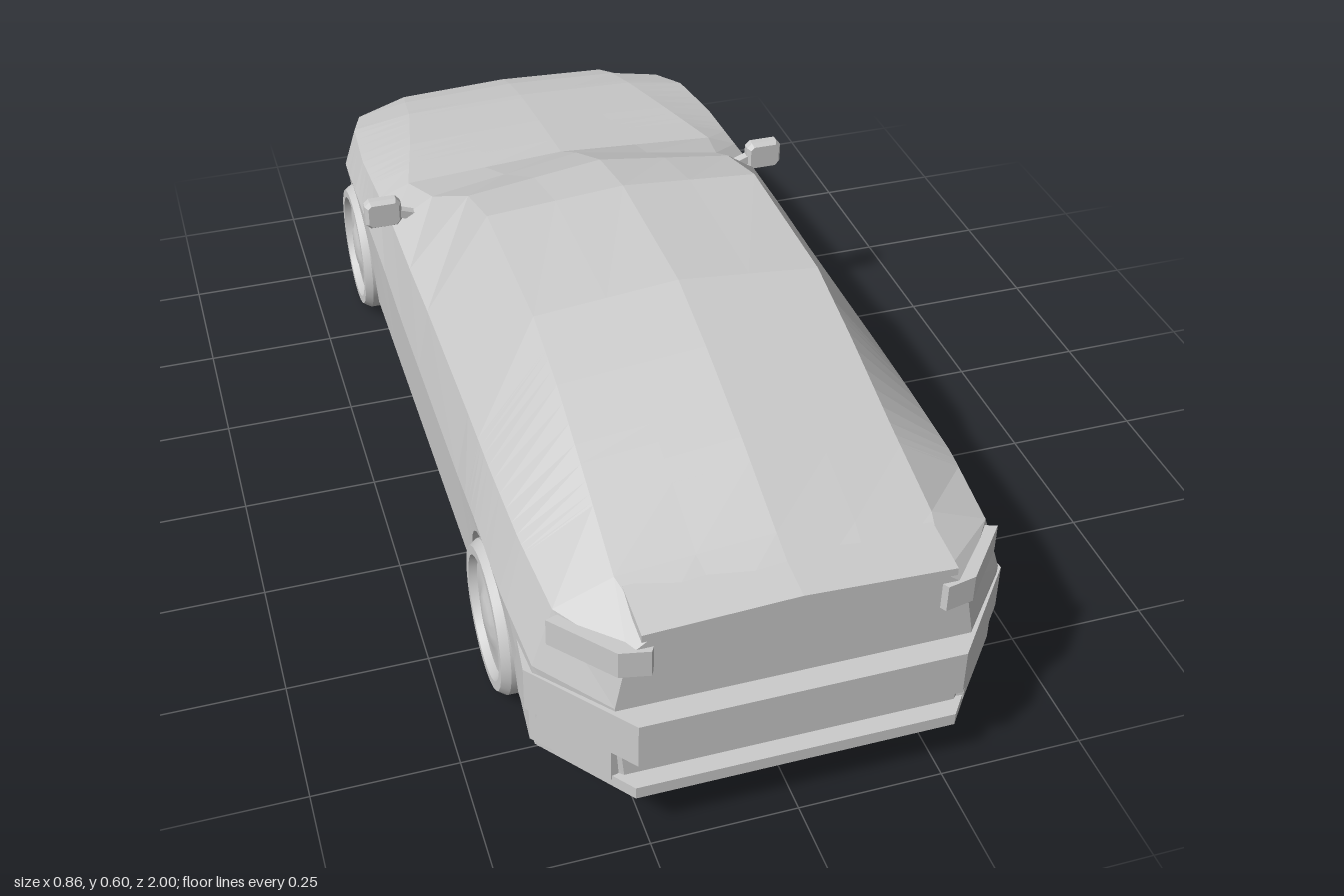
import * as THREE from 'three';
import { toCreasedNormals } from 'three/addons/utils/BufferGeometryUtils.js';

const flat = new THREE.MeshStandardMaterial({ color: 0xcccccc, flatShading: true, side: THREE.DoubleSide });
const smooth = new THREE.MeshStandardMaterial({ color: 0xcccccc });

const WHEEL_Y = 0.135, ARCH_R = 0.148, AXLES = [-0.635, 0.567];

// Body stations, nose to tail:
// z, sill x, side x, side y, belt x, belt y, roof-edge x, roof-edge y, centre y, floor y
const STATIONS = [
  [-1.0, 0.16, 0.17, 0.16, 0.165, 0.20, 0.12, 0.22, 0.225, 0.10],
  [-0.965, 0.25, 0.265, 0.19, 0.255, 0.25, 0.20, 0.275, 0.285, 0.08],
  [-0.93, 0.30, 0.32, 0.21, 0.305, 0.29, 0.23, 0.32, 0.33, 0.075],
  [-0.86, 0.36, 0.37, 0.23, 0.345, 0.325, 0.24, 0.345, 0.355, 0.07],
  [-0.76, 0.38, 0.398, 0.27, 0.372, 0.35, 0.25, 0.37, 0.378, 0.08],
  [-0.6, 0.39, 0.405, 0.30, 0.383, 0.365, 0.28, 0.39, 0.402, 0.085],
  [-0.42, 0.39, 0.402, 0.29, 0.38, 0.38, 0.32, 0.405, 0.425, 0.085],
  [-0.30, 0.39, 0.40, 0.28, 0.378, 0.39, 0.295, 0.44, 0.49, 0.085],
  [-0.13, 0.39, 0.40, 0.27, 0.378, 0.393, 0.258, 0.535, 0.57, 0.085],
  [0.02, 0.39, 0.40, 0.27, 0.376, 0.395, 0.256, 0.58, 0.60, 0.085],
  [0.345, 0.39, 0.40, 0.27, 0.375, 0.40, 0.255, 0.578, 0.603, 0.085],
  [0.5, 0.39, 0.404, 0.295, 0.375, 0.40, 0.255, 0.54, 0.565, 0.088],
  [0.68, 0.39, 0.405, 0.29, 0.372, 0.40, 0.258, 0.48, 0.51, 0.095],
  [0.84, 0.39, 0.395, 0.28, 0.36, 0.39, 0.262, 0.43, 0.452, 0.10],
  [0.955, 0.28, 0.295, 0.27, 0.275, 0.375, 0.235, 0.405, 0.412, 0.12],
];

function stationAt(z) {
  let i = 0;
  while (i < STATIONS.length - 2 && z > STATIONS[i + 1][0]) i++;
  const a = STATIONS[i], b = STATIONS[i + 1], t = (z - a[0]) / (b[0] - a[0]);
  return a.map((v, k) => v + (b[k] - v) * t);
}

// One closed ring: floor centre, up the left side, over the roof, down the right
function ringAt(z, arch) {
  const [, xs, xm, ym, xb, yb, xr, yr, yc, floor] = stationAt(z);
  const inner = Math.min(0.27, xs - 0.02), lip = Math.max(floor, arch);
  const half = [[0, floor], [inner, floor], [inner, lip], [xs + (lip - floor) * 0.06, lip],
    [xm, Math.max(ym, lip + 0.01)], [xb, yb], [xr, yr], [xr / 2, (yr + yc) / 2], [0, yc]];
  const mirror = half.slice(1, -1).reverse().map(([x, y]) => [-x, y]);
  return [...half, ...mirror].map(([x, y]) => new THREE.Vector3(x, y, z));
}

function buildBody(group) {
  // Stations plus extra rings that follow the wheel arches
  const cuts = STATIONS.map((s) => [s[0], 0])
    .filter(([z]) => AXLES.every((a) => Math.abs(z - a) > ARCH_R));
  for (const a of AXLES) {
    cuts.push([a - ARCH_R - 0.0005, 0], [a + ARCH_R + 0.0005, 0]);
    for (let k = 0; k <= 12; k++) {
      const t = Math.PI * k / 12;
      cuts.push([a - ARCH_R * Math.cos(t), WHEEL_Y + ARCH_R * Math.sin(t)]);
    }
  }
  cuts.sort((p, q) => p[0] - q[0]);
  const rings = cuts.map(([z, arch]) => ringAt(z, arch));

  const parts = { body: [], windscreen: [], rearWindow: [], sideWindows: [], roof: [] };
  const partFor = (row, z) => {
    if (row === 5 && z > -0.31 && z < 0.7) return 'sideWindows';
    if (row >= 6 && z > -0.43 && z < 0) return 'windscreen';
    if (row >= 6 && z > 0 && z < 0.345) return 'roof';
    if (row >= 6 && z > 0.345 && z < 0.83) return 'rearWindow';
    return 'body';
  };
  for (let k = 0; k < rings.length - 1; k++) {
    const p = rings[k], q = rings[k + 1], z = (p[0].z + q[0].z) / 2;
    for (let i = 0; i < 16; i++) {
      const j = (i + 1) % 16;
      parts[partFor(Math.min(i, 15 - i), z)].push(p[i], p[j], q[j], p[i], q[j], q[i]);
    }
  }
  // Nose and tail caps
  for (const [ring, isTail] of [[rings[0], false], [rings[rings.length - 1], true]]) {
    const mid = new THREE.Vector3(0, (ring[0].y + ring[8].y) / 2, ring[0].z);
    for (let i = 0; i < 16; i++) {
      const a = ring[i], b = ring[(i + 1) % 16];
      parts.body.push(...(isTail ? [a, b, mid] : [b, a, mid]));
    }
  }
  for (const [name, points] of Object.entries(parts)) {
    const geo = new THREE.BufferGeometry().setFromPoints(points);
    geo.computeVertexNormals();
    add(group, name, geo, flat);
  }
}

function add(group, name, geo, material) {
  const mesh = new THREE.Mesh(geo, material);
  mesh.name = name;
  group.add(mesh);
  return mesh;
}

// Slab with a plan outline of [x, z] points, from y0 to y1
function slab(group, name, plan, y0, y1) {
  const shape = new THREE.Shape(plan.map(([x, z]) => new THREE.Vector2(x, -z)));
  const geo = new THREE.ExtrudeGeometry(shape, { depth: y1 - y0, bevelEnabled: false });
  geo.rotateX(-Math.PI / 2).translate(0, y0, 0);
  return add(group, name, geo, flat);
}
const mirrored = (half) => [...half, ...half.slice().reverse().map(([x, z]) => [-x, z])];

// Wheel turned around its axle, outer face towards +y
function wheelGeometry() {
  const profile = [[0, 0.03], [0.1, 0.03], [0.108, 0], [0.125, 0], [0.135, 0.012], [0.135, 0.112],
    [0.125, 0.127], [0.109, 0.127], [0.104, 0.113], [0.055, 0.116], [0.038, 0.123], [0, 0.127]];
  const geo = new THREE.LatheGeometry(profile.map(([r, y]) => new THREE.Vector2(r, y)), 28);
  return toCreasedNormals(geo, 0.5);
}

export function createModel() {
  const car = new THREE.Group();
  car.name = 'car';
  buildBody(car);

  // Rear bumper: full upper band, corner blocks around a recess, lower lip
  slab(car, 'rearBumper', mirrored([[0.395, 0.72], [0.407, 0.83], [0.27, 0.997]]), 0.18, 0.265);
  slab(car, 'rearRecess', mirrored([[0.392, 0.73], [0.40, 0.83], [0.30, 0.95], [0.2, 0.93]]), 0.11, 0.18);
  slab(car, 'rearLip', mirrored([[0.388, 0.73], [0.392, 0.83], [0.27, 0.985]]), 0.095, 0.118);

  // Boot lip spoiler, raised at the centre
  const lip = new THREE.BoxGeometry(0.51, 0.014, 0.1, 2, 1, 1);
  const pos = lip.attributes.position;
  for (let i = 0; i < pos.count; i++) {
    const x = pos.getX(i), z = pos.getZ(i);
    pos.setY(i, pos.getY(i) + 0.426 - Math.abs(x) * 0.045 - z * 0.1);
    pos.setZ(i, z + 0.91);
  }
  add(car, 'bootLip', lip, flat);

  // Front lip and lower intake bar
  slab(car, 'frontLip', mirrored([[0.37, -0.8], [0.355, -0.89], [0.26, -0.975], [0.165, -1.0]]), 0.075, 0.105);
  slab(car, 'frontBumper', mirrored([[0.36, -0.87], [0.355, -0.89], [0.265, -0.97], [0.168, -1.0]]), 0.165, 0.215);

  const wheel = wheelGeometry();
  for (const s of [1, -1]) {
    // Lights
    slab(car, 'tailLight', [[0.225 * s, 0.94], [0.24 * s, 0.965], [0.29 * s, 0.955], [0.375 * s, 0.855], [0.33 * s, 0.84]], 0.335, 0.385);
    slab(car, 'headlight', [[0.22 * s, -0.955], [0.30 * s, -0.937], [0.362 * s, -0.87], [0.3 * s, -0.86]], 0.24, 0.262);

    // Wheels
    for (const z of AXLES) {
      const w = add(car, z < 0 ? 'frontWheel' : 'rearWheel', wheel, smooth);
      w.rotation.z = -s * Math.PI / 2;
      w.position.set(0.285 * s, WHEEL_Y, z);
    }

    // Door mirror: chamfered housing on a short stalk
    const outline = [[-0.036, -0.02], [-0.026, -0.03], [0.026, -0.03], [0.036, -0.018],
      [0.036, 0.018], [0.026, 0.03], [-0.026, 0.03], [-0.036, 0.02]];
    const housing = new THREE.ExtrudeGeometry(
      new THREE.Shape(outline.map(([x, y]) => new THREE.Vector2(x, y))),
      { depth: 0.014, bevelThickness: 0.009, bevelSize: 0.006, bevelOffset: -0.006, bevelSegments: 1 });
    add(car, 'mirror', housing, flat).position.set(0.395 * s, 0.424, -0.305);
    const stalk = add(car, 'mirrorStalk', new THREE.BoxGeometry(0.05, 0.016, 0.018), flat);
    stalk.position.set(0.345 * s, 0.412, -0.297);
    stalk.rotation.z = s * 0.35;
  }
  return car;
}
